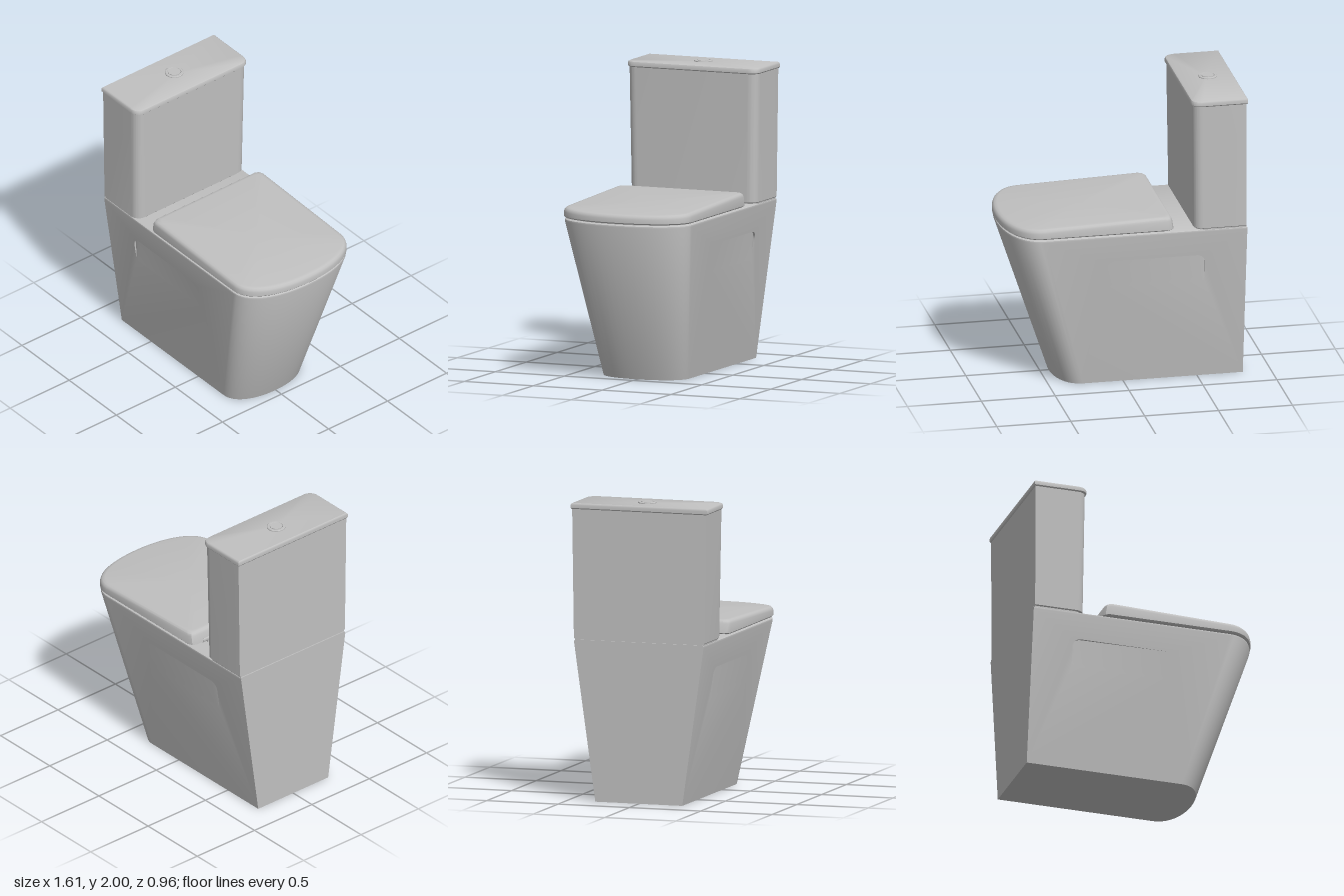
import * as THREE from 'three';
import { mergeGeometries, toCreasedNormals } from 'three/addons/utils/BufferGeometryUtils.js';

const lerp = THREE.MathUtils.lerp;
const ceramic = new THREE.MeshStandardMaterial({ name: 'ceramic', color: 0xc0c0c0 });

// Outline at height y: square or clipped back at xb, sides at +-hz up to xs,
// then a curve that meets the front xf at z = +-zf
function ring({ y, xb, xs, xf, hz, zf = 0, rb = 0 }, steps = 14) {
  const curve = new THREE.CubicBezierCurve(
    new THREE.Vector2(xs, hz), new THREE.Vector2(lerp(xs, xf, 0.6), hz),
    new THREE.Vector2(xf, lerp(zf, hz, 0.6)), new THREE.Vector2(xf, zf));
  const back = rb
    ? [[xb, hz - rb], [xb + 0.3 * rb, hz - 0.3 * rb], [xb + rb, hz]]
    : [[xb, hz]];
  const half = [...back, ...curve.getPoints(steps).map(p => [p.x, p.y])];
  const other = half.slice().reverse().map(([x, z]) => [x, -z]);
  if (zf === 0) other.shift();
  return [...half, ...other].map(([x, z]) => [x, y, z]);
}

function fromTriangles(tris) {
  const g = new THREE.BufferGeometry();
  g.setAttribute('position', new THREE.Float32BufferAttribute(tris.flat(), 3));
  return g;
}

// Skin between rings from bottom to top, with optional end caps
function loft(specs, { bottom = true, top = true, openSides = false } = {}) {
  const rings = specs.map(s => ring(s));
  const n = rings[0].length, tris = [];
  for (let k = 0; k < rings.length - 1; k++) {
    for (let i = 0; i < n; i++) {
      if (openSides && (i === 0 || i === n - 2)) continue;
      const j = (i + 1) % n, a = rings[k], b = rings[k + 1];
      tris.push(a[i], a[j], b[j], a[i], b[j], b[i]);
    }
  }
  const cap = (spec, r, up) => {
    const c = [(spec.xb + spec.xf) / 2, spec.y, 0];
    for (let i = 0; i < n; i++) {
      const j = (i + 1) % n;
      tris.push(c, up ? r[i] : r[j], up ? r[j] : r[i]);
    }
  };
  if (bottom) cap(specs[0], rings[0], false);
  if (top) cap(specs.at(-1), rings.at(-1), true);
  return fromTriangles(tris);
}

function mirrorZ(geometry) {
  const p = geometry.attributes.position, tris = [];
  for (let i = 0; i < p.count; i += 3) {
    for (const k of [i, i + 2, i + 1]) tris.push([p.getX(k), p.getY(k), -p.getZ(k)]);
  }
  return fromTriangles(tris);
}

// Pedestal dimensions
const WALL_TOP = 1.062;
const section = y => {
  const t = y / WALL_TOP;
  return { y, xb: -0.81, xs: lerp(0.27, 0.56, t), xf: lerp(0.44, 0.795, t), hz: lerp(0.305, 0.454, t) };
};

// Flat side wall with a shallow recess that fades forwards and downwards
function sideWall() {
  const x0 = -0.53, x1 = 0.16, yTop = 0.893, yLow = 0.7, r = 0.055, depth = 0.014;
  const xs = [];
  for (let i = 0; i <= 6; i++) xs.push(x0 + r * (1 - Math.cos(i / 6 * Math.PI / 2)));
  for (let i = 1; i <= 8; i++) xs.push(lerp(x0 + r, x1, i / 8));
  const topAt = x => x < x0 + r ? yTop - r + Math.sqrt(Math.max(0, r * r - (x0 + r - x) ** 2)) : yTop;

  const lo = section(0), hi = section(WALL_TOP);
  const shape = new THREE.Shape([[lo.xb, 0], [lo.xs, 0], [hi.xs, WALL_TOP], [hi.xb, WALL_TOP]]
    .map(p => new THREE.Vector2(...p)));
  shape.holes.push(new THREE.Path([
    new THREE.Vector2(x0, yLow), ...xs.map(x => new THREE.Vector2(x, topAt(x))), new THREE.Vector2(x1, yLow)]));
  const wall = new THREE.ShapeGeometry(shape).toNonIndexed();
  wall.deleteAttribute('normal');
  wall.deleteAttribute('uv');
  const p = wall.attributes.position;
  for (let i = 0; i < p.count; i++) p.setZ(i, section(p.getY(i)).hz);

  // Recess floor, with step walls along its back and upper edges
  const rows = 6, tris = [];
  const point = (x, v, surface) => {
    const y = lerp(topAt(x), yLow, v);
    const d = surface ? 0 : depth * (1 - (x - x0) / (x1 - x0)) * (1 - v);
    return [x, y, section(y).hz - d];
  };
  const quad = (a, b, c, d) => tris.push(a, b, c, a, c, d);
  for (let i = 0; i < xs.length - 1; i++) {
    const a = xs[i], b = xs[i + 1];
    quad(point(a, 0, true), point(a, 0), point(b, 0), point(b, 0, true));
    for (let k = 0; k < rows; k++) {
      const v = k / rows, w = (k + 1) / rows;
      quad(point(a, v), point(a, w), point(b, w), point(b, v));
    }
  }
  for (let k = 0; k < rows; k++) {
    const v = k / rows, w = (k + 1) / rows;
    quad(point(x0, v, true), point(x0, w, true), point(x0, w), point(x0, v));
  }
  return mergeGeometries([wall, fromTriangles(tris)]);
}

export function createModel() {
  const model = new THREE.Group();
  model.name = 'toilet';
  const add = (name, geometry, crease = 0.6) => {
    const mesh = new THREE.Mesh(toCreasedNormals(geometry, crease), ceramic);
    mesh.name = name;
    model.add(mesh);
    return mesh;
  };

  // Tapered pedestal with softened rim
  const wall = sideWall();
  const rim = { ...section(WALL_TOP) };
  add('pedestal', mergeGeometries([
    loft([section(0), section(WALL_TOP)], { top: false, openSides: true }),
    loft([rim, { ...rim, y: 1.073, hz: 0.452, xf: 0.793 }, { ...rim, y: 1.078, hz: 0.444, xf: 0.785 }], { bottom: false }),
    wall, mirrorZ(wall),
  ]));

  // Closed seat lid, its top sloping down to the front
  const lidRing = (y, inset, xb) => ({ y, xb: xb + inset, xs: 0.56, xf: 0.802 - inset, hz: 0.458 - inset, rb: 0.04 });
  const lid = loft([
    lidRing(1.086, 0.008, -0.312), lidRing(1.094, 0, -0.318), lidRing(1.155, 0, -0.308),
    lidRing(1.17, 0.005, -0.306), lidRing(1.18, 0.016, -0.306), lidRing(1.183, 0.035, -0.306)]);
  const lp = lid.attributes.position;
  for (let i = 0; i < lp.count; i++) {
    if (lp.getY(i) > 1.12) lp.setY(i, lp.getY(i) - (lp.getX(i) + 0.3) * 0.032);
  }
  add('seatLid', lid);

  // Recessed spacer under the lid
  add('seatSpacer', loft([1.07, 1.09].map(y => ({ y, xb: -0.25, xs: 0.53, xf: 0.765, hz: 0.425 }))));

  // Hinges
  for (const side of [-1, 1]) {
    const barrel = new THREE.CylinderGeometry(0.018, 0.018, 0.12, 16).rotateX(Math.PI / 2);
    add('hingeBarrel', barrel).position.set(-0.304, 1.1, side * 0.3);
    add('hingeFoot', new THREE.BoxGeometry(0.07, 0.02, 0.05)).position.set(-0.285, 1.082, side * 0.3);
  }

  // Cistern, slightly wider at the top
  const tank = (y, xf, hz, xb = -0.802) => ({ y, xb, xs: xf - 0.065, xf, hz, zf: hz - 0.065 });
  add('cisternFoot', loft([tank(1.07, -0.465, 0.45), tank(1.086, -0.465, 0.45)]));
  add('cistern', loft([tank(1.084, -0.46, 0.452), tank(1.09, -0.454, 0.458), tank(1.95, -0.443, 0.47)]));

  // Cistern lid with rounded upper edge
  add('cisternLid', loft([
    tank(1.95, -0.441, 0.472, -0.805), tank(1.957, -0.434, 0.478, -0.81), tank(1.976, -0.434, 0.478, -0.81),
    tank(1.985, -0.438, 0.474, -0.808), tank(1.99, -0.447, 0.466, -0.803)]));

  // Flush button: collar and two half plates
  const collar = [[0.062, 1.985], [0.062, 1.995], [0.058, 1.999], [0.047, 1.999], [0.044, 1.994], [0, 1.994]]
    .map(p => new THREE.Vector2(...p));
  add('buttonCollar', new THREE.LatheGeometry(collar, 32)).position.x = -0.636;
  for (const start of [0.04, Math.PI + 0.04]) {
    const half = new THREE.CylinderGeometry(0.041, 0.041, 0.008, 20, 1, false, start, Math.PI - 0.08);
    add('flushButton', half).position.set(-0.636, 1.996, 0);
  }
  return model;
}
